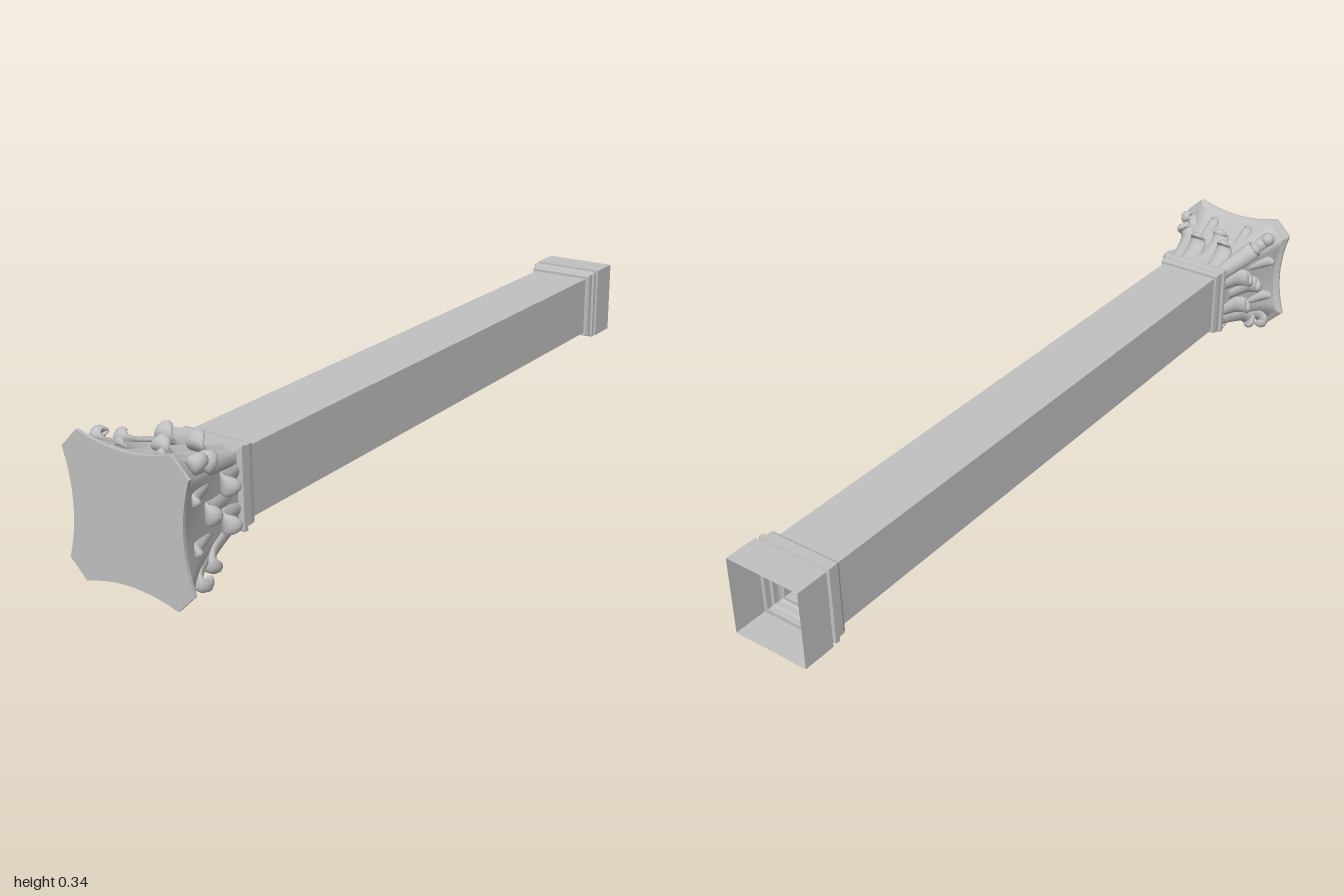
import * as THREE from 'three';

const stone = new THREE.MeshStandardMaterial({ color: 0xc0c0c0, side: THREE.DoubleSide });
stone.name = 'grey stone';

// Skin closed rings of points (counter-clockwise around the path)
function loft(rings, smooth, capEnd = false) {
  const n = rings[0].length, pos = rings.flat(2), index = [];
  for (let i = 0; i < rings.length - 1; i++)
    for (let j = 0; j < n; j++) {
      const k = (j + 1) % n, a = i * n + j, b = i * n + k;
      index.push(a, b, b + n, a, b + n, a + n);
    }
  if (capEnd) {
    const last = (rings.length - 1) * n, c = pos.length / 3;
    pos.push(0, 0, rings.at(-1)[0][2]);
    for (let j = 0; j < n; j++) index.push(last + j, last + (j + 1) % n, c);
  }
  let geo = new THREE.BufferGeometry();
  geo.setAttribute('position', new THREE.Float32BufferAttribute(pos, 3));
  geo.setIndex(index);
  if (!smooth) geo = geo.toNonIndexed();
  geo.computeVertexNormals();
  return geo;
}

// Square ring of half-width h at depth z
const square = ([h, z]) => [[-h, -h, z], [h, -h, z], [h, h, z], [-h, h, z]];

// Four hollowed sides joined by cut corners: h = corner reach, c = side half-length, d = hollow
function hollowRing([h, c, d, z], steps = 10) {
  const ring = [];
  for (let s = 0; s < 4; s++) {
    const a = s * Math.PI / 2, cos = Math.cos(a), sin = Math.sin(a);
    for (let i = 0; i <= steps; i++) {
      const u = i / steps * 2 - 1, x = u * c, y = -h + d * (1 - u * u);
      ring.push([x * cos - y * sin, x * sin + y * cos, z]);
    }
  }
  return ring;
}

// Curling leaf swept along (outward, depth) points, with an oval section
function leafGeometry(points, width, thick) {
  const curve = new THREE.CatmullRomCurve3(points.map(([r, z]) => new THREE.Vector3(0, r, z)));
  const rings = [], steps = 22, sides = 12;
  for (let i = 0; i <= steps; i++) {
    const t = i / steps, p = curve.getPoint(t), q = curve.getTangent(t);
    const taper = Math.sqrt(Math.max(0.0004, 1 - Math.pow(t, 5)));
    const w = width * taper * (0.8 + 0.2 * Math.sin(t * Math.PI)), k = thick * taper;
    const ring = [];
    for (let j = 0; j < sides; j++) {
      const a = j / sides * Math.PI * 2, x = Math.cos(a), n = Math.sin(a) * k;
      // edges droop back towards the bell
      ring.push([x * w, p.y + q.z * n - 0.008 * x * x * taper, p.z - q.y * n]);
    }
    rings.push(ring);
  }
  return loft(rings, true);
}

export function createModel() {
  const model = new THREE.Group();
  model.name = 'squareColumn';
  const column = new THREE.Group();
  column.name = 'column';
  column.position.y = 0.171;
  model.add(column);

  const add = (name, geo, parent = column) => {
    const mesh = new THREE.Mesh(geo, stone);
    mesh.name = name;
    parent.add(mesh);
    return mesh;
  };

  // Hollow shaft, base and neck mouldings
  add('base', loft([[0.1, -1], [0.1, -0.915], [0.09, -0.915]].map(square)));
  add('baseMoulding', loft([[0.09, -0.915], [0.09, -0.908], [0.099, -0.905], [0.099, -0.893],
    [0.094, -0.889], [0.094, -0.875], [0.091, -0.868], [0.083, -0.868]].map(square)));
  add('shaft', loft([[0.083, -0.868], [0.083, 0.71]].map(square)));
  add('neckMoulding', loft([[0.083, 0.71], [0.09, 0.71], [0.092, 0.722], [0.092, 0.738],
    [0.098, 0.742], [0.098, 0.753], [0.086, 0.757]].map(square)));

  // Flaring bell and the hollow-sided slab that closes it
  add('bell', loft([[0.086, 0.084, 0, 0.755], [0.09, 0.085, 0, 0.79], [0.1, 0.088, 0, 0.84],
    [0.113, 0.094, 0.002, 0.89], [0.127, 0.1, 0.006, 0.93], [0.142, 0.108, 0.012, 0.96],
    [0.154, 0.115, 0.018, 0.98]].map(r => hollowRing(r)), true));
  add('abacus', loft([[0.154, 0.115, 0.018, 0.98], [0.162, 0.121, 0.021, 0.986],
    [0.169, 0.125, 0.021, 0.992], [0.169, 0.125, 0.021, 1]].map(r => hollowRing(r)), false, true));

  const lowerLeaf = leafGeometry([[0.084, 0.757], [0.093, 0.79], [0.106, 0.823], [0.126, 0.836],
    [0.141, 0.826], [0.143, 0.812]], 0.026, 0.008);
  const upperLeaf = leafGeometry([[0.088, 0.79], [0.1, 0.84], [0.113, 0.882], [0.13, 0.893],
    [0.14, 0.882], [0.137, 0.87]], 0.026, 0.009);
  const cornerLeaf = leafGeometry([[0.112, 0.77], [0.13, 0.83], [0.148, 0.875], [0.165, 0.888],
    [0.176, 0.876], [0.172, 0.864]], 0.026, 0.011);
  const stalk = leafGeometry([[0.095, 0.86], [0.113, 0.9], [0.13, 0.937], [0.142, 0.95],
    [0.148, 0.942]], 0.017, 0.008);
  const volute = leafGeometry([[0.135, 0.86], [0.153, 0.9], [0.176, 0.936], [0.193, 0.94],
    [0.2, 0.925], [0.19, 0.913], [0.182, 0.922]], 0.019, 0.009);

  // Leaves repeated on each face and corner
  for (let s = 0; s < 4; s++) {
    const face = new THREE.Group();
    face.name = 'capitalFace' + (s + 1);
    face.rotation.z = s * Math.PI / 2;
    column.add(face);
    for (const side of [-1, 1]) {
      add('lowerLeaf', lowerLeaf, face).position.x = side * 0.043;
      add('stalk', stalk, face).position.x = side * 0.055;
    }
    add('upperLeaf', upperLeaf, face);
    add('cornerLeaf', cornerLeaf, face).rotation.z = Math.PI / 4;
    add('cornerVolute', volute, face).rotation.z = Math.PI / 4;
  }
  return model;
}
